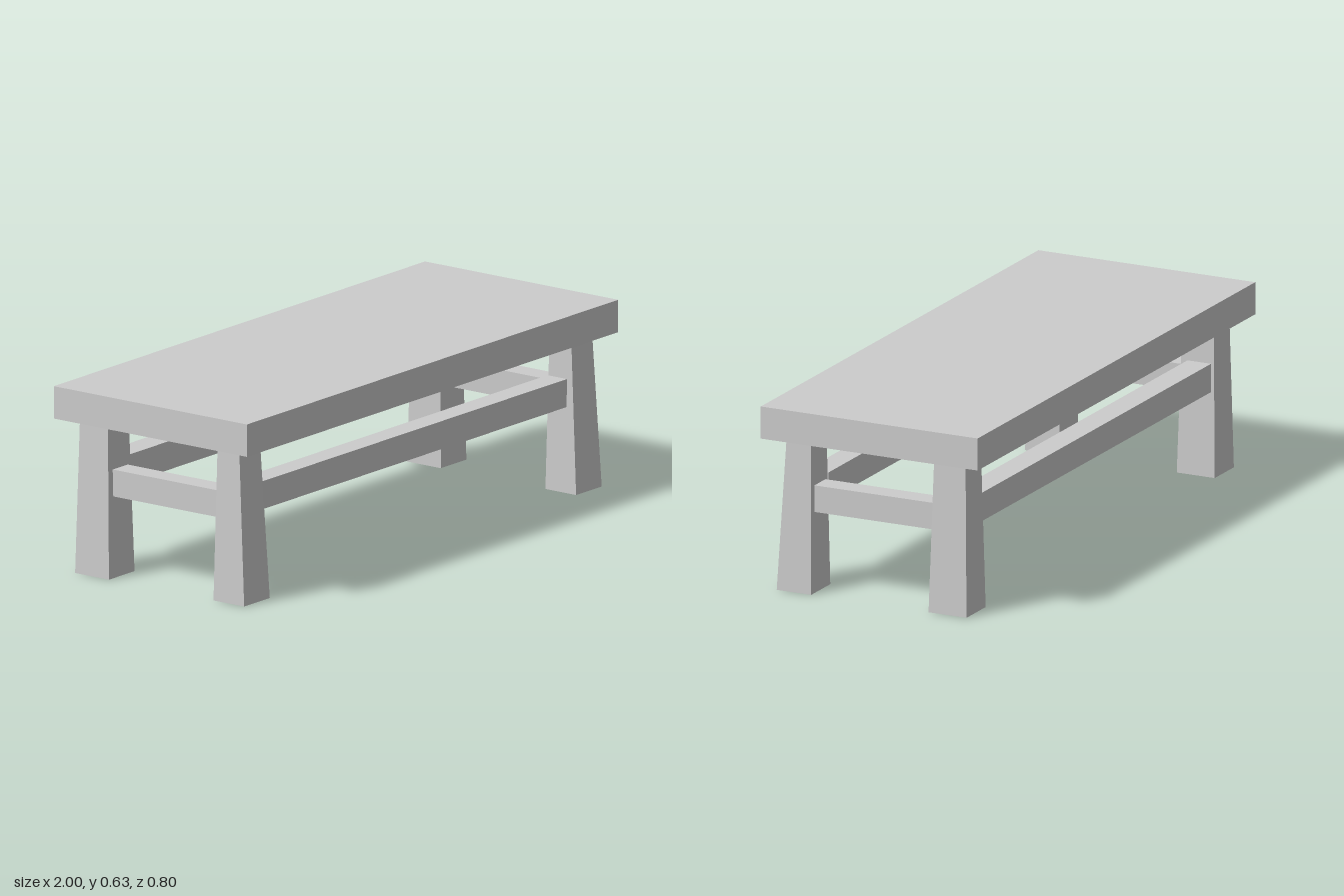
import * as THREE from 'three';

const material = new THREE.MeshStandardMaterial({
  color: 0xcccccc, flatShading: true, side: THREE.DoubleSide,
});

// Box given by its [min, max] range on each axis
function addBeam(group, name, [x0, x1], [y0, y1], [z0, z1]) {
  const mesh = new THREE.Mesh(new THREE.BoxGeometry(x1 - x0, y1 - y0, z1 - z0), material);
  mesh.position.set((x0 + x1) / 2, (y0 + y1) / 2, (z0 + z1) / 2);
  mesh.name = name;
  group.add(mesh);
}

// Hollow square tube, open at the foot, tapering between two rectangles
function addLeg(group, name, height, foot, head) {
  const geometry = new THREE.CylinderGeometry(Math.SQRT1_2, Math.SQRT1_2, 1, 4, 1, true);
  geometry.rotateY(Math.PI / 4);
  const p = geometry.attributes.position;
  for (let i = 0; i < p.count; i++) {
    const top = p.getY(i) > 0;
    const { x, z } = top ? head : foot;
    p.setXYZ(i,
      THREE.MathUtils.lerp(x[0], x[1], p.getX(i) + 0.5),
      top ? height : 0,
      THREE.MathUtils.lerp(z[0], z[1], p.getZ(i) + 0.5));
  }
  geometry.computeVertexNormals();
  const mesh = new THREE.Mesh(geometry, material);
  mesh.name = name;
  group.add(mesh);
}

export function createModel() {
  const table = new THREE.Group();
  table.name = 'lowTable';

  // Thick slab top
  addBeam(table, 'tabletop', [-1, 1], [0.523, 0.633], [-0.4, 0.4]);

  // Tapered legs; the front pair stands slightly wider than the back pair
  const mirror = ([a, b], s) => (s > 0 ? [a, b] : [-b, -a]);
  for (const [side, s] of [['Left', 1], ['Right', -1]]) {
    const footX = mirror([0.825, 0.963], s);
    const headX = mirror([0.838, 0.95], s);
    addLeg(table, `front${side}Leg`, 0.523,
      { x: footX, z: [0.233, 0.36] }, { x: headX, z: [0.24, 0.33] });
    addLeg(table, `back${side}Leg`, 0.523,
      { x: footX, z: [-0.34, -0.2] }, { x: headX, z: [-0.33, -0.214] });

    // Short rail joining the legs at this end
    addBeam(table, `end${side}Rail`, mirror([0.85, 0.93], s), [0.275, 0.366], [-0.212, 0.238]);
  }

  // Long rails along front and back
  addBeam(table, 'frontRail', [-0.834, 0.834], [0.29, 0.385], [0.235, 0.315]);
  addBeam(table, 'backRail', [-0.834, 0.834], [0.29, 0.387], [-0.322, -0.235]);

  return table;
}
